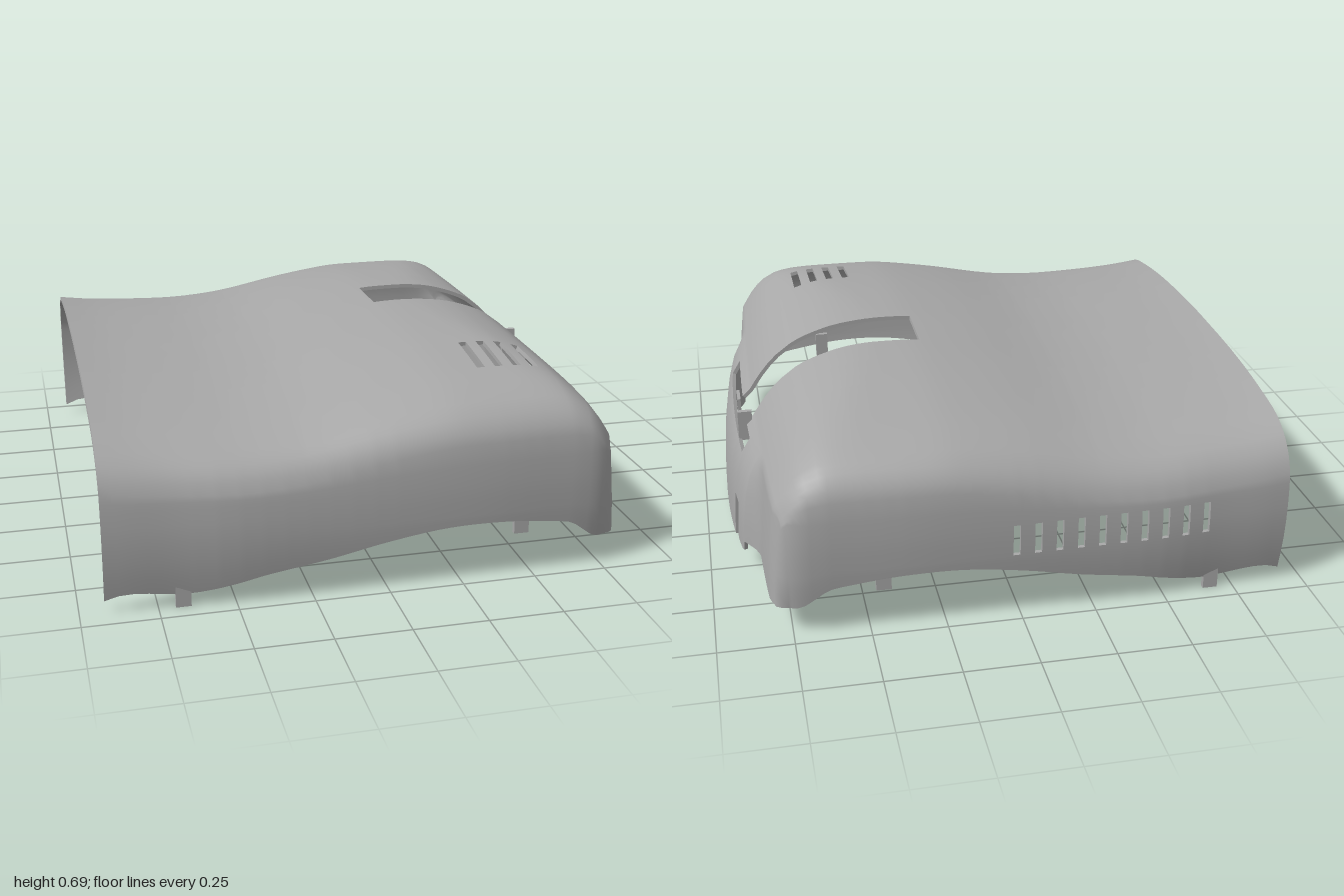
import * as THREE from 'three';

// Smooth function through a few [x, y] points
function curve(pts) {
  const n = pts.length;
  const m = pts.map((p, i) => {
    const a = pts[Math.max(i - 1, 0)], b = pts[Math.min(i + 1, n - 1)];
    return (b[1] - a[1]) / (b[0] - a[0]);
  });
  return (x) => {
    let i = 0;
    while (i < n - 2 && x > pts[i + 1][0]) i++;
    const [x0, y0] = pts[i], [x1, y1] = pts[i + 1], h = x1 - x0;
    const t = Math.min(1, Math.max(0, (x - x0) / h)), t2 = t * t, t3 = t2 * t;
    return (2 * t3 - 3 * t2 + 1) * y0 + (t3 - 2 * t2 + t) * h * m[i]
      + (3 * t2 - 2 * t3) * y1 + (t3 - t2) * h * m[i + 1];
  };
}

// Sorted breakpoints with wide gaps subdivided
function fill(points, step) {
  const s = [...points].sort((a, b) => a - b), out = [s[0]];
  for (let i = 1; i < s.length; i++) {
    const gap = s[i] - s[i - 1];
    if (gap < 1e-4) continue;
    const n = Math.ceil(gap / step);
    for (let k = 1; k <= n; k++) out.push(s[i - 1] + (gap * k) / n);
  }
  return out;
}

const lerp = THREE.MathUtils.lerp, smooth = THREE.MathUtils.smoothstep;

// Profiles of the cover
const topLine = curve([[-0.92, 0.625], [-0.8, 0.61], [-0.6, 0.598], [-0.45, 0.595], [-0.3, 0.605],
  [-0.2, 0.62], [0, 0.66], [0.2, 0.69], [0.3, 0.695], [0.8, 0.695]]);
const endDrop = curve([[-1, 0], [0.3, 0], [0.4, 0.005], [0.5, 0.02], [0.6, 0.052], [0.65, 0.078],
  [0.7, 0.118], [0.75, 0.175], [0.8, 0.25]]);
const sideDrop = curve([[0, 0], [0.3, 0.007], [0.5, 0.02], [0.7, 0.045], [0.8, 0.065], [0.9, 0.1],
  [0.95, 0.132], [0.98, 0.167], [1, 0.21]]);
const halfWidth = curve([[-0.92, 0.955], [-0.85, 0.96], [-0.7, 0.967], [-0.5, 0.985], [-0.2, 0.99],
  [0.3, 1], [0.6, 0.99], [0.7, 0.985], [0.76, 0.975], [0.8, 0.955]]);
const sideBottom = curve([[-0.92, 0.04], [-0.85, 0.06], [-0.67, 0.045], [-0.6, 0.05], [-0.5, 0.07],
  [-0.4, 0.095], [-0.2, 0.13], [0, 0.175], [0.2, 0.205], [0.4, 0.205], [0.6, 0.18], [0.7, 0.165],
  [0.77, 0.125], [0.8, 0.1]]);

function endBottom(z) {
  const a = Math.abs(z);
  if (a < 0.361) return 0.03 + 0.2 * a * a;
  if (a < 0.521) return 0.08;
  return lerp(0.115, 0.1, (a - 0.52) / 0.42);
}

function roofPoint(u, v) {
  const a = Math.abs(v);
  const z = Math.sign(v) * (a + (halfWidth(u) - 1.015) * smooth(a, 0.75, 1));
  const end = 0.81 - 0.025 * v * v - 0.015 * smooth(a, 0.92, 1);
  const x = u + (end - 0.8) * smooth(u, 0.6, 0.8);
  const y = topLine(u) - Math.cbrt(endDrop(u) ** 3 + sideDrop(a) ** 3);
  return new THREE.Vector3(x, y, z);
}

// One column of wall points hanging from a roof edge point
function wallColumn(edge, u, v, side) {
  const ey = edge.y, a = Math.abs(edge.z);
  const sb = sideBottom(u), eb = endBottom(edge.z);
  const sideRows = [ey, (ey + 0.35) / 2, 0.35, 0.295, 0.24, lerp(0.24, sb, 0.35), lerp(0.24, sb, 0.7), sb];
  const endRows = [ey, Math.min(0.42, ey - 0.01), 0.37, 0.3, 0.22, lerp(0.22, eb, 0.35), lerp(0.22, eb, 0.7), eb];
  const w = side === 1 ? smooth(u, 0.6, 0.8) : 1;
  const bulge = (1 - 1.2 * Math.min(a, 0.55) ** 2) * (1 - smooth(a, 0.5, 0.62));
  return sideRows.map((s, r) => {
    const y = lerp(s, endRows[r], w), q = (ey - y) / ey;
    const dz = (0.06 * q - 0.09 * q * q) * side;
    const lean = 0.03 * (1 - (1 - q) ** 2) * (1 - side);
    const flare = 0.08 * bulge * (1 - Math.exp(-(ey - y) / 0.07)) * (1 - side);
    return new THREE.Vector3(edge.x + lean + flare, y, edge.z + Math.sign(v) * dz);
  });
}

// Give a surface of quads a thickness, closing every open border with a rim
function thicken(points, quads, keep, thickness) {
  const tris = (list) => list.flatMap(([a, b, c, d]) => [a, b, c, a, c, d]);
  const base = new THREE.BufferGeometry().setFromPoints(points);
  base.setIndex(tris(quads));
  base.computeVertexNormals();
  const nrm = base.attributes.normal, n = points.length;
  const normals = points.map((_, i) => new THREE.Vector3().fromBufferAttribute(nrm, i));
  const inner = points.map((p, i) => p.clone().addScaledVector(normals[i], -thickness));
  const kept = quads.filter((_, i) => keep[i]);
  const pos = [...points, ...inner], nor = [...normals, ...normals.map((v) => v.clone().negate())];
  const index = [...tris(kept), ...tris(kept.map((q) => q.map((i) => i + n).reverse()))];

  const edges = new Set();
  kept.forEach((q) => q.forEach((a, k) => edges.add(a * n + q[(k + 1) % 4])));
  for (const e of edges) {
    const a = Math.floor(e / n), b = e % n;
    if (edges.has(b * n + a)) continue;
    const c = [points[b], points[a], inner[a], inner[b]];
    const f = c[1].clone().sub(c[0]).cross(c[2].clone().sub(c[0])).normalize();
    const s = pos.length;
    pos.push(...c);
    nor.push(f, f, f, f);
    index.push(s, s + 1, s + 2, s, s + 2, s + 3);
  }
  const geo = new THREE.BufferGeometry().setFromPoints(pos);
  geo.setAttribute('normal', new THREE.Float32BufferAttribute(nor.flatMap((v) => [v.x, v.y, v.z]), 3));
  geo.setIndex(index);
  return geo;
}

function shellGeometry() {
  // Openings: side vents, roof grille, long roof slot
  const vents = Array.from({ length: 10 }, (_, i) => [-0.64 + i * 0.0722, -0.616 + i * 0.0722]);
  const grille = [0, 1, 2, 3].map((i) => [0.372 + i * 0.064, 0.4 + i * 0.064]);
  const within = (x, list) => list.some(([a, b]) => x > a && x < b);

  const us = fill([-0.92, ...vents.flat(), 0.205, ...grille.flat(), 0.65, 0.7, 0.73, 0.76, 0.78, 0.79, 0.8], 0.05);
  const half = [0.23, 0.34, 0.36, 0.43, 0.51, 0.52, 0.525, 0.55, 0.58, 0.62, 0.71, 0.8, 0.85, 0.9, 0.925, 0.95, 0.97, 0.985, 1];
  const vs = fill([...half, ...half.map((v) => -v), -0.205, 0.012], 0.08);
  const nu = us.length, nv = vs.length;
  const points = [], quads = [], keep = [];
  const id = (i, j) => i * nv + j;

  // Roof
  us.forEach((u) => vs.forEach((v) => points.push(roofPoint(u, v))));
  for (let i = 0; i < nu - 1; i++) for (let j = 0; j < nv - 1; j++) {
    const u = (us[i] + us[i + 1]) / 2, v = (vs[j] + vs[j + 1]) / 2;
    quads.push([id(i, j), id(i, j + 1), id(i + 1, j + 1), id(i + 1, j)]);
    const slot = u > 0.205 && v > -0.205 && v < 0.012;
    keep.push(!slot && !(v > 0.51 && v < 0.71 && within(u, grille)));
  }

  // Walls: along one side, across the closed end, back along the other side
  const path = [];
  for (let i = 0; i < nu; i++) path.push([i, nv - 1]);
  for (let j = nv - 2; j >= 0; j--) path.push([nu - 1, j]);
  for (let i = nu - 2; i >= 0; i--) path.push([i, 0]);
  const columns = path.map(([i, j]) => {
    const onSide = j === 0 || j === nv - 1;
    const side = !onSide ? 0 : i === nu - 1 ? 0.6 : 1;
    return wallColumn(points[id(i, j)], us[i], vs[j], side).map((p, r) => {
      if (r === 0) return id(i, j);
      points.push(p);
      return points.length - 1;
    });
  });
  for (let k = 0; k < path.length - 1; k++) for (let r = 0; r < 7; r++) {
    const [i0, j0] = path[k], [i1, j1] = path[k + 1];
    const u = (us[i0] + us[i1]) / 2, v = (vs[j0] + vs[j1]) / 2, a = Math.abs(v);
    quads.push([columns[k][r], columns[k][r + 1], columns[k + 1][r + 1], columns[k + 1][r]]);
    let open;
    if (i0 === i1) {
      open = (r === 1 && a < 0.34) || (r === 0 && v > -0.205 && v < 0.012)
        || (r >= 4 && a > 0.36 && a < 0.43);
    } else {
      open = v < 0 && (r === 2 || r === 3) && within(u, vents);
    }
    keep.push(!open);
  }
  return thicken(points, quads, keep, 0.014);
}

export function createModel() {
  const group = new THREE.Group();
  const grey = new THREE.MeshStandardMaterial({ color: 0xa8a8a8 });
  grey.name = 'grey plastic';
  const add = (name, geo, x = 0, y = 0, z = 0) => {
    const mesh = new THREE.Mesh(geo, grey);
    mesh.name = name;
    mesh.position.set(x, y, z);
    group.add(mesh);
  };

  add('coverShell', shellGeometry());

  // Snap clips under the side walls, and recessed panels behind the end notches
  for (const s of [-1, 1]) {
    add('rearClip', new THREE.BoxGeometry(0.05, 0.1, 0.018), -0.67, 0.05, s * 0.932);
    add('frontClip', new THREE.BoxGeometry(0.05, 0.1, 0.018), 0.455, 0.2, s * 0.962);
    add('notchPanel', new THREE.BoxGeometry(0.012, 0.15, 0.09), 0.845, 0.175, s * 0.395);
  }

  // Small upright beside the slot
  add('slotPost', new THREE.BoxGeometry(0.05, 0.11, 0.018), 0.84, 0.415, -0.222);
  return group;
}
